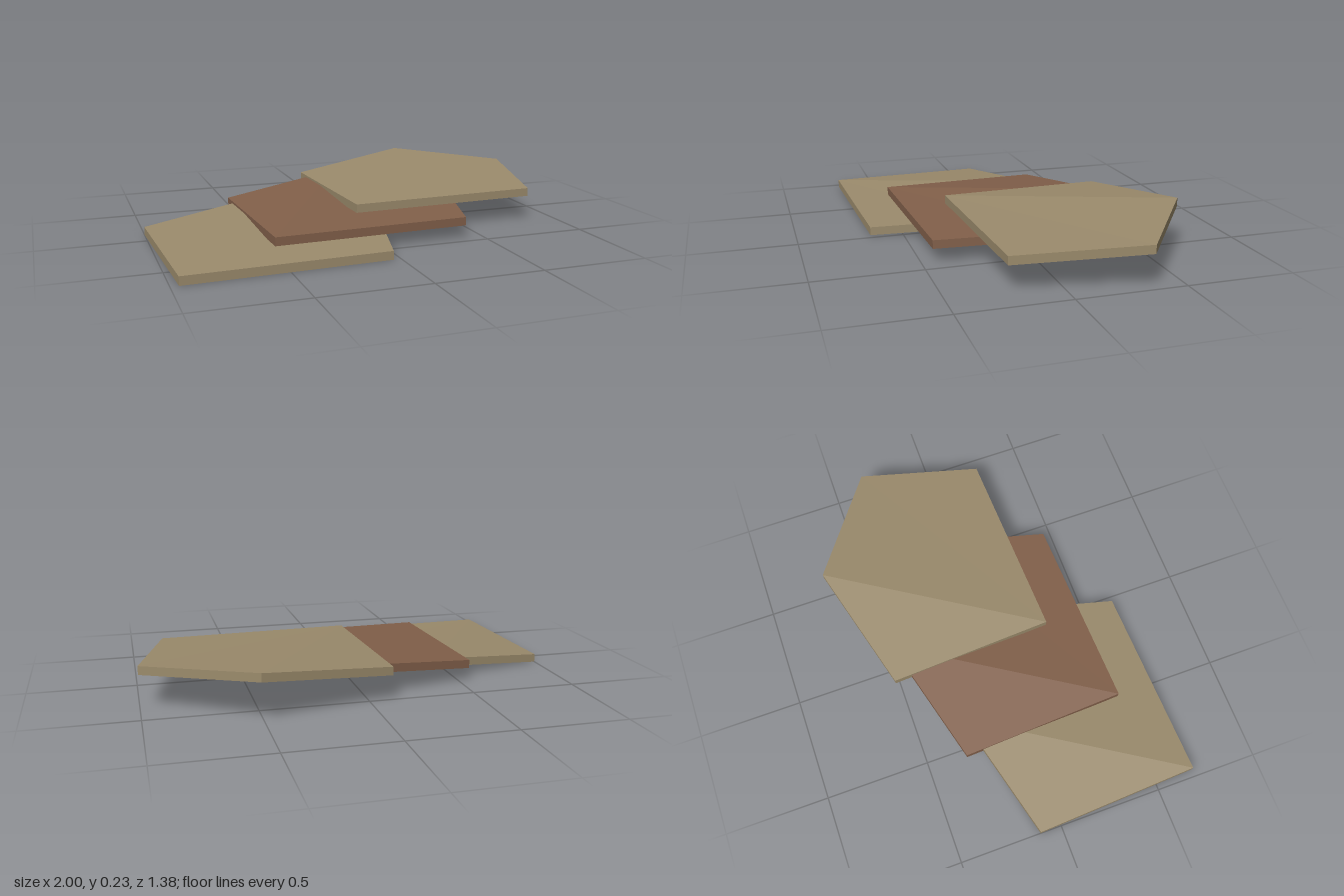
import * as THREE from 'three';

// Slab corners as [x, lift, z], counter-clockwise from above, front left first
const OUTLINE = [
  [-0.068, 0, 0.274],
  [0.86, 0, 0.238],
  [1.0, 0.035, -0.346],
  [0.516, 0.068, -0.69],
  [-0.104, 0, -0.52],
];
const THICKNESS = 0.04;

// Five-sided slab whose back corners curl upward
function slabGeometry() {
  const pos = [];
  const low = OUTLINE.map(([x, y, z]) => [x, y, z]);
  const high = OUTLINE.map(([x, y, z]) => [x, y + THICKNESS, z]);
  const tri = (a, b, c) => pos.push(...a, ...b, ...c);
  const n = OUTLINE.length;
  // top and underside as fans from the front left corner
  for (let i = 1; i < n - 1; i++) {
    tri(high[0], high[i], high[i + 1]);
    tri(low[0], low[i + 1], low[i]);
  }
  // rim
  for (let i = 0; i < n; i++) {
    const j = (i + 1) % n;
    tri(low[i], low[j], high[j]);
    tri(low[i], high[j], high[i]);
  }
  const geo = new THREE.BufferGeometry();
  geo.setAttribute('position', new THREE.Float32BufferAttribute(pos, 3));
  geo.computeVertexNormals();
  return geo;
}

export function createModel() {
  const group = new THREE.Group();
  group.name = 'overlappingSlabs';

  const tan = new THREE.MeshStandardMaterial({ color: 0x9b8b6c });
  tan.name = 'tan';
  const brown = new THREE.MeshStandardMaterial({ color: 0x82604a });
  brown.name = 'brown';

  // three equal slabs stepping up towards the back
  const geo = slabGeometry();
  [['lowerSlab', tan], ['middleSlab', brown], ['upperSlab', tan]].forEach(([name, material], i) => {
    const slab = new THREE.Mesh(geo, material);
    slab.name = name;
    slab.position.set(-0.448 * (2 - i), 0.06 * i, 0.208 * (2 - i));
    group.add(slab);
  });
  return group;
}
